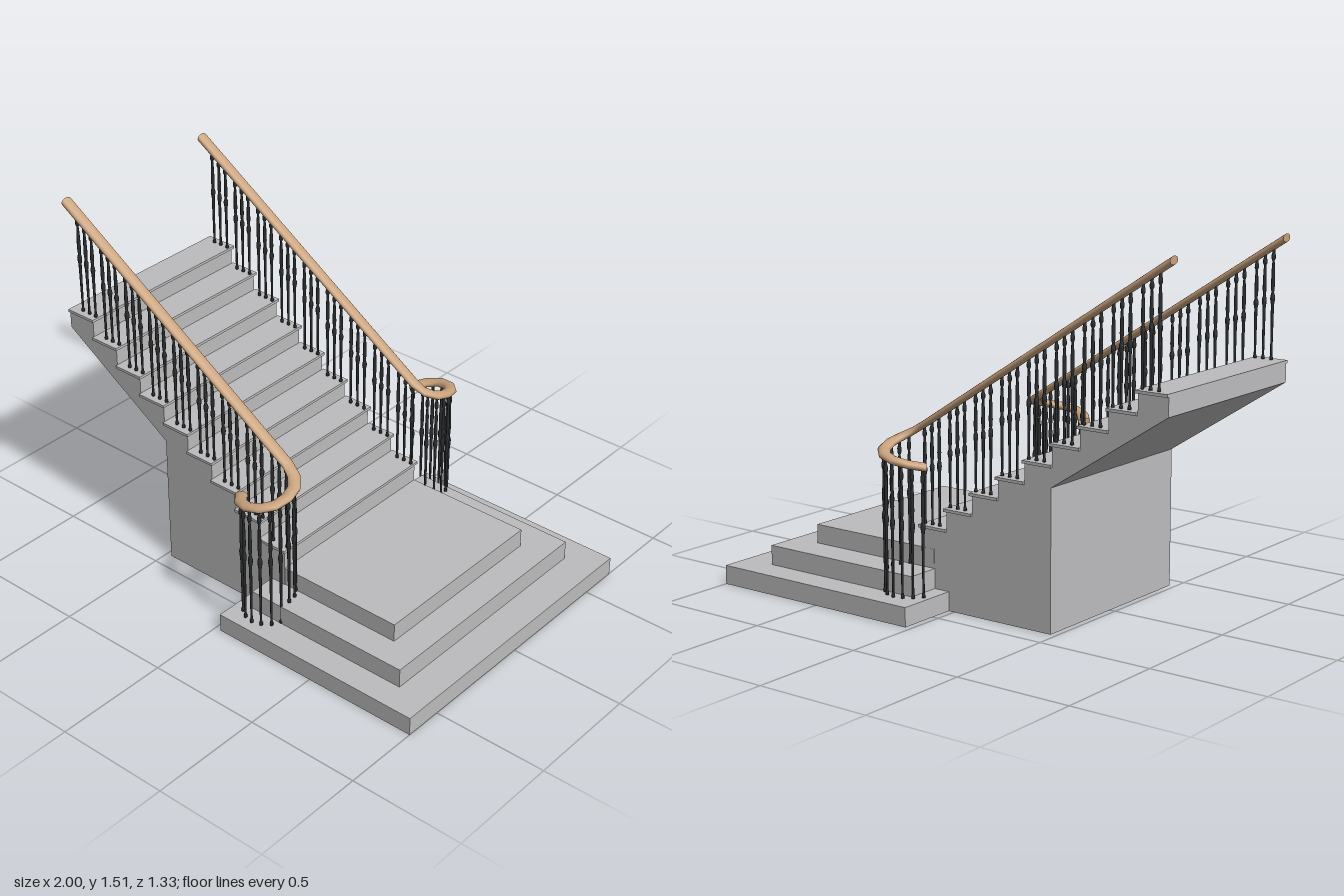
import * as THREE from 'three';

const stone = new THREE.MeshStandardMaterial({ color: 0xbcbbbd });
stone.name = 'grey stone';
const wood = new THREE.MeshStandardMaterial({ color: 0xc9a27c });
wood.name = 'tan wood';
const iron = new THREE.MeshStandardMaterial({ color: 0x2b2d2e });
iron.name = 'dark iron';

const STEPS = 9, RUN = 0.129, RISE = 0.084;
const TOP_Y = 1.007, TOP_EDGE = -0.858; // upper tread height and nosing
const MID_Z = 0.016;                    // centre line of the flight
const edgeX = (i) => TOP_EDGE + i * RUN;
const treadY = (i) => TOP_Y - i * RISE;

function addMesh(parent, name, geometry, material, x = 0, y = 0, z = 0) {
  const mesh = new THREE.Mesh(geometry, material);
  mesh.name = name;
  mesh.position.set(x, y, z);
  parent.add(mesh);
  return mesh;
}

function addBox(parent, name, x0, x1, y0, y1, z0, z1) {
  return addMesh(parent, name, new THREE.BoxGeometry(x1 - x0, y1 - y0, z1 - z0), stone,
    (x0 + x1) / 2, (y0 + y1) / 2, (z0 + z1) / 2);
}

// Oval section swept along points, kept upright so the ends are cut vertically
function railGeometry(points, halfWidth, halfHeight, sides = 14) {
  const positions = [], index = [];
  const up = new THREE.Vector3(0, 1, 0);
  const rings = points.map((p, i) => {
    const before = points[Math.max(i - 1, 0)], after = points[Math.min(i + 1, points.length - 1)];
    const d1 = p.clone().sub(before).setY(0).normalize();
    const d2 = after.clone().sub(p).setY(0).normalize();
    const side = d1.add(d2).normalize().cross(up);
    return Array.from({ length: sides }, (_, j) => {
      const a = (j / sides) * Math.PI * 2;
      return p.clone().addScaledVector(side, Math.cos(a) * halfWidth)
        .addScaledVector(up, Math.sin(a) * halfHeight);
    });
  });
  rings.forEach((ring) => ring.forEach((v) => positions.push(v.x, v.y, v.z)));
  for (let i = 0; i < rings.length - 1; i++) {
    for (let j = 0; j < sides; j++) {
      const k = (j + 1) % sides;
      const a = i * sides + j, b = i * sides + k, c = a + sides, d = b + sides;
      index.push(a, c, b, b, c, d);
    }
  }
  // End caps with their own vertices
  [0, rings.length - 1].forEach((r, end) => {
    const start = positions.length / 3;
    rings[r].forEach((v) => positions.push(v.x, v.y, v.z));
    for (let j = 1; j < sides - 1; j++) {
      if (end) index.push(start, start + j + 1, start + j);
      else index.push(start, start + j, start + j + 1);
    }
  });
  const geometry = new THREE.BufferGeometry();
  geometry.setAttribute('position', new THREE.Float32BufferAttribute(positions, 3));
  geometry.setIndex(index);
  geometry.computeVertexNormals();
  return geometry;
}

// Turned baluster of unit height: [radius, height]
const balusterGeometry = new THREE.LatheGeometry([
  [0, 0], [0.007, 0], [0.007, 0.02], [0.0045, 0.04], [0.0055, 0.3], [0.0065, 0.49],
  [0.0095, 0.53], [0.0095, 0.56], [0.0055, 0.59], [0.008, 0.66], [0.0065, 0.8],
  [0.0045, 0.87], [0.0085, 0.89], [0.0085, 0.92], [0.006, 0.94], [0.006, 1], [0, 1],
].map(([r, y]) => new THREE.Vector2(r, y)), 8);

function addBaluster(parent, x, z, y0, y1) {
  addMesh(parent, 'baluster', balusterGeometry, iron, x, y0, z).scale.y = y1 - y0;
}

// Handrail path: x, y, distance outward from the flight's centre line
const RAIL_Z = 0.394;
const SCROLL = [
  [0.17, 0.735, RAIL_Z], [0.215, 0.705, 0.408], [0.246, 0.684, 0.445], [0.255, 0.67, 0.495],
  [0.24, 0.655, 0.55], [0.2, 0.644, 0.59], [0.145, 0.633, 0.603], [0.09, 0.62, 0.58],
  [0.045, 0.606, 0.528],
];
const railY = (x) => 1.49 + ((0.735 - 1.49) * (x + 1)) / 1.17;

function buildBalustrade(side) {
  const group = new THREE.Group();
  group.name = side > 0 ? 'leftBalustrade' : 'rightBalustrade';
  const place = ([x, y, d]) => new THREE.Vector3(x, y, MID_Z + side * d);
  const scroll = SCROLL.map(place);
  addMesh(group, 'handrail', railGeometry([place([-1, 1.49, RAIL_Z]), ...scroll], 0.026, 0.017), wood);

  // Three balusters on every tread
  for (let i = 0; i < STEPS; i++) {
    for (let j = 0; j < 3; j++) {
      const x = edgeX(i) - 0.086 + j * 0.037;
      addBaluster(group, x, MID_Z + side * RAIL_Z, treadY(i), railY(x));
    }
  }
  // Cluster below the scroll, standing on the lower tiers
  const curve = new THREE.CatmullRomCurve3(scroll);
  for (let i = 0; i < 10; i++) {
    const p = curve.getPointAt(0.15 + (i / 9) * 0.82);
    const onSecondTier = Math.abs(p.z) < 0.545 && p.x > 0.1;
    addBaluster(group, p.x, p.z, onSecondTier ? 0.163 : 0.08, p.y);
  }
  return group;
}

export function createModel() {
  const model = new THREE.Group();
  model.name = 'staircase';

  // Broad landing tiers
  addBox(model, 'bottomTier', 0.027, 1, 0, 0.08, -0.667, 0.667);
  addBox(model, 'middleTier', 0.098, 0.855, 0.08, 0.163, -0.543, 0.55);
  addBox(model, 'upperTier', 0.1, 0.728, 0.163, 0.243, -0.4, 0.428);

  // Stepped body with sloping soffit
  const shape = new THREE.Shape();
  shape.moveTo(-1, 0.92);
  shape.lineTo(-0.475, 0.58);
  shape.lineTo(-0.475, 0);
  shape.lineTo(edgeX(STEPS - 1) - 0.008, 0);
  for (let i = STEPS - 1; i >= 0; i--) {
    shape.lineTo(edgeX(i) - 0.008, treadY(i) - 0.012);
    if (i > 0) shape.lineTo(edgeX(i - 1) - 0.008, treadY(i) - 0.012);
  }
  shape.lineTo(-1, TOP_Y - 0.012);
  shape.closePath();
  const depth = 0.83;
  addMesh(model, 'stairBody', new THREE.ExtrudeGeometry(shape, { depth, bevelEnabled: false }),
    stone, 0, 0, MID_Z - depth / 2);

  // Thin overhanging treads
  for (let i = 0; i < STEPS; i++) {
    const back = i === 0 ? -1 : edgeX(i - 1) - 0.008;
    addBox(model, 'tread', back, edgeX(i), treadY(i) - 0.012, treadY(i), MID_Z - 0.425, MID_Z + 0.425);
  }

  model.add(buildBalustrade(1), buildBalustrade(-1));
  return model;
}
